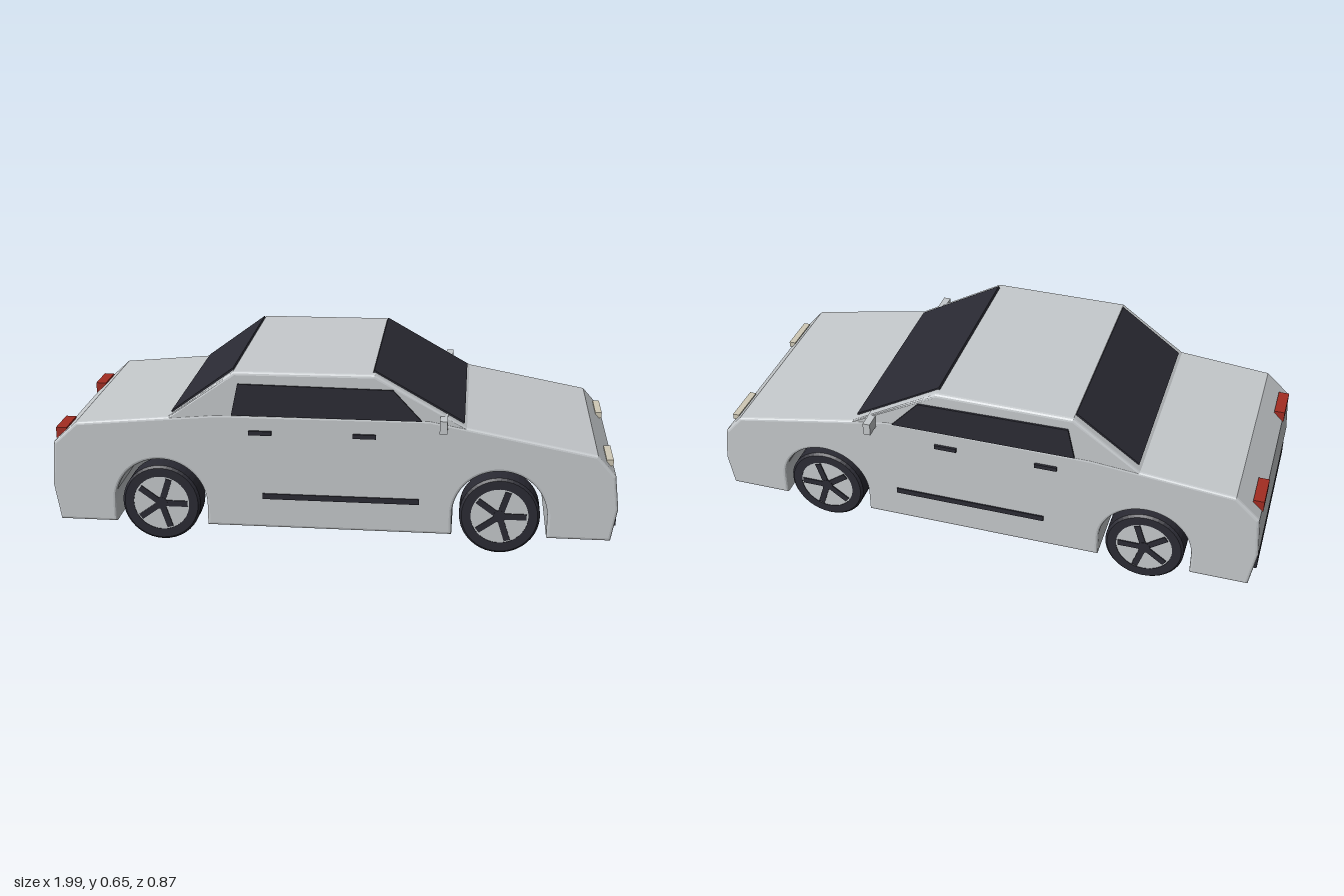
import * as THREE from 'three';

const mat = (name, color) => Object.assign(new THREE.MeshStandardMaterial({ color }), { name });

export function createModel() {
  const car = new THREE.Group();
  car.name = 'car';
  const paint = mat('silverPaint', 0xc6cacd);
  const dark = mat('darkGlassAndRubber', 0x2b2b34);
  const red = mat('redLamp', 0xa32c22);
  const cream = mat('creamLamp', 0xcfc9b6);

  const add = (name, geo, material, x = 0, y = 0, z = 0, parent = car) => {
    const m = new THREE.Mesh(geo, material);
    m.name = name;
    m.position.set(x, y, z);
    parent.add(m);
    return m;
  };
  const box = (name, material, [x0, x1], [y0, y1], [z0, z1]) =>
    add(name, new THREE.BoxGeometry(x1 - x0, y1 - y0, z1 - z0), material,
      (x0 + x1) / 2, (y0 + y1) / 2, (z0 + z1) / 2);
  const polygon = pts => new THREE.Shape(pts.map(p => new THREE.Vector2(...p)));
  // Side profile extruded across the car, with small rounded edges
  const hull = (shape, half, bevel) => new THREE.ExtrudeGeometry(shape, {
    depth: 2 * (half - bevel), bevelThickness: bevel, bevelSize: bevel,
    bevelOffset: -bevel, bevelSegments: 3, curveSegments: 24,
  }).translate(0, 0, -(half - bevel));

  // Lower body with wheel arches cut right across
  const axles = [-0.605, 0.59], axleY = 0.14, archR = 0.165, floor = 0.063;
  const body = new THREE.Shape();
  body.moveTo(-0.975, floor);
  for (const x of axles) {
    body.lineTo(x - archR, floor);
    body.absarc(x, axleY, archR, Math.PI, 0, true);
    body.lineTo(x + archR, floor);
  }
  for (const p of [[0.975, floor], [0.995, 0.18], [0.98, 0.303], [0.915, 0.376], [0.455, 0.462],
    [0.34, 0.484], [-0.4, 0.48], [-0.56, 0.465], [-0.9, 0.433], [-0.985, 0.355], [-0.997, 0.2]]) {
    body.lineTo(...p);
  }
  body.closePath();
  add('body', hull(body, 0.384, 0.01), paint);

  // Cabin
  add('cabin', hull(polygon([[-0.59, 0.45], [0.485, 0.45], [0.152, 0.639], [-0.335, 0.636]]),
    0.382, 0.012), paint);

  // Windscreen and rear window: thin slabs lying on the slopes
  const pane = (name, [x0, y0], [x1, y1]) => {
    const m = add(name, new THREE.BoxGeometry(Math.hypot(x1 - x0, y1 - y0), 0.009, 0.7), dark,
      (x0 + x1) / 2, (y0 + y1) / 2);
    m.rotation.z = Math.atan2(y1 - y0, x1 - x0);
  };
  pane('windscreen', [0.146, 0.643], [0.458, 0.467]);
  pane('rearWindow', [-0.56, 0.473], [-0.337, 0.637]);

  // Wheel parts, shared by all four wheels
  const tyreProfile = [[0.1, -0.05], [0.132, -0.05], [0.14, -0.042], [0.14, 0.042],
    [0.132, 0.05], [0.1, 0.05], [0.1, -0.05]].map(p => new THREE.Vector2(...p));
  const tyreGeo = new THREE.LatheGeometry(tyreProfile, 40).rotateX(Math.PI / 2).toNonIndexed();
  tyreGeo.computeVertexNormals();
  const rimGeo = new THREE.CylinderGeometry(0.101, 0.101, 0.096, 40).rotateX(Math.PI / 2);
  const hubGeo = new THREE.CylinderGeometry(0.022, 0.022, 0.106, 20).rotateX(Math.PI / 2);
  const spokeGeo = new THREE.BoxGeometry(0.092, 0.022, 0.104).translate(0.048, 0, 0);

  for (const s of [1, -1]) {
    const side = s > 0 ? 'left' : 'right';
    const zr = (a, b) => (s > 0 ? [a, b] : [-b, -a]);

    // Side window
    const glass = new THREE.ExtrudeGeometry(
      polygon([[-0.345, 0.48], [0.315, 0.48], [0.215, 0.588], [-0.32, 0.594]]),
      { depth: 0.009, bevelEnabled: false });
    add(side + 'SideWindow', glass, dark, 0, 0, s > 0 ? 0.38 : -0.389);

    // Door handles, trim strip and mirror
    for (const x of [-0.245, 0.118]) {
      box(side + 'DoorHandle', dark, [x - 0.04, x + 0.04], [0.411, 0.426], zr(0.38, 0.393));
    }
    box(side + 'TrimStrip', dark, [-0.24, 0.31], [0.173, 0.193], zr(0.38, 0.389));
    box(side + 'Mirror', paint, [0.377, 0.403], [0.455, 0.5], zr(0.35, 0.437));

    // Lamps
    box(side + 'Headlight', cream, [0.95, 0.974], [0.321, 0.342], zr(0.18, 0.326));
    box(side + 'TailLight', red, [-0.99, -0.952], [0.352, 0.392], zr(0.2, 0.326));

    // Wheels
    for (const x of axles) {
      const wheel = new THREE.Group();
      wheel.name = side + (x > 0 ? 'FrontWheel' : 'RearWheel');
      wheel.position.set(x, axleY, s * 0.333);
      car.add(wheel);
      add('tyre', tyreGeo, dark, 0, 0, 0, wheel);
      add('rim', rimGeo, paint, 0, 0, 0, wheel);
      add('hub', hubGeo, dark, 0, 0, 0, wheel);
      for (let i = 0; i < 5; i++) {
        add('spoke', spokeGeo, dark, 0, 0, 0, wheel).rotation.z = i * Math.PI * 0.4;
      }
    }
  }

  // Dark bumper inserts
  box('frontGrille', dark, [0.96, 0.994], [0.104, 0.156], [-0.338, 0.338]);
  box('rearBumperInsert', dark, [-0.996, -0.96], [0.104, 0.156], [-0.338, 0.338]);
  return car;
}
